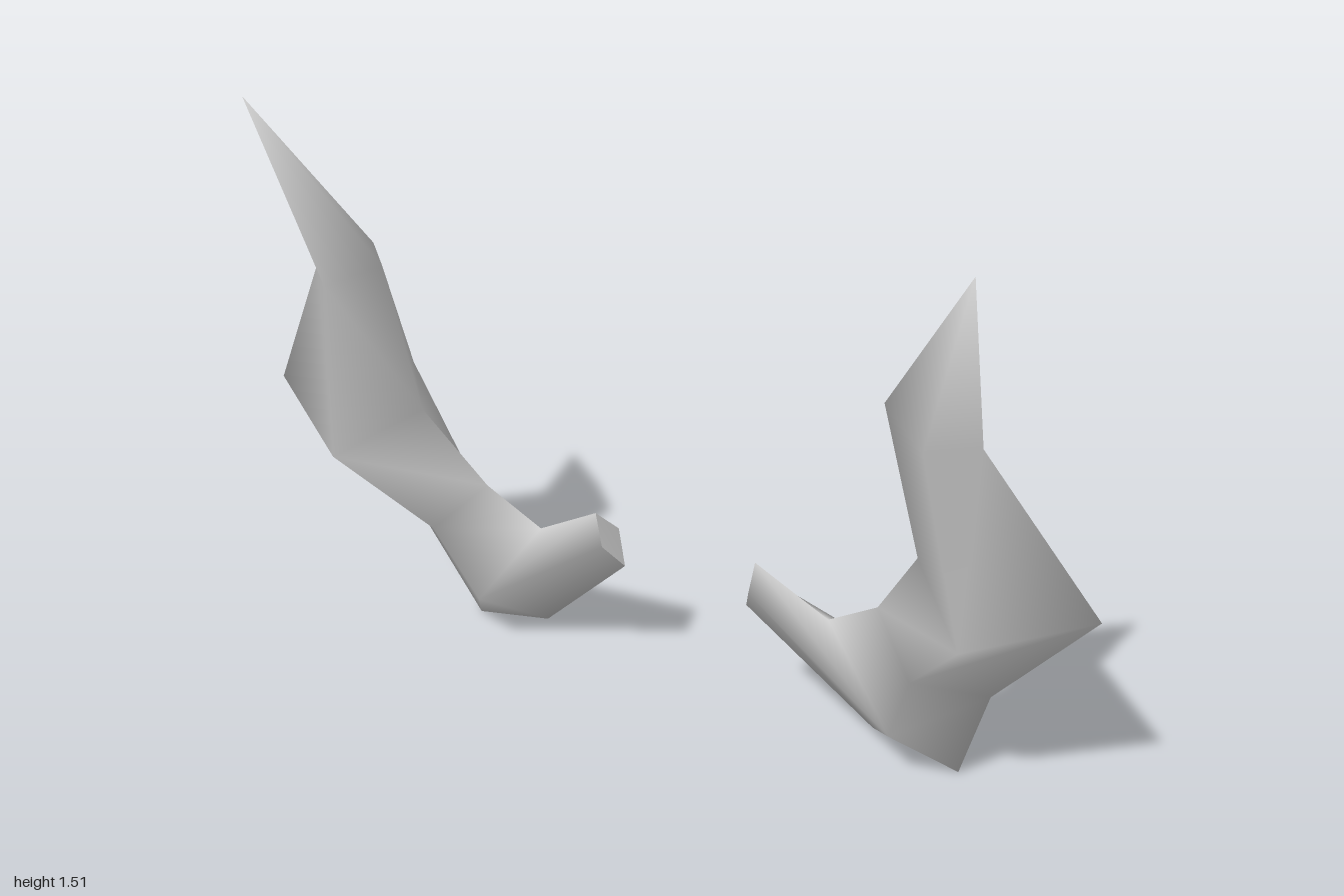
import * as THREE from 'three';
import { mergeVertices } from 'three/addons/utils/BufferGeometryUtils.js';

// Four-sided cross-sections from root to tip: inner, front, outer, back
const elbowIn = [0.365, 0.405, -0.11], elbowFront = [0.53, 0.165, -0.09], elbowBack = [0.49, 0.23, -0.28];
const tip = [0.8, 1.515, 0.277];
const SECTIONS = [
  [[0.2, 0.515, -0.08], [0.185, 0.43, -0.08], [0.155, 0.36, -0.13], [0.175, 0.45, -0.138]],
  [elbowIn, elbowFront, [0.43, 0.06, -0.23], elbowBack],
  [elbowIn, elbowFront, [0.635, 0, -0.25], elbowBack], // elbow heel is two corners wide
  [[0.49, 0.495, -0.085], [0.6, 0.38, -0.02], [0.73, 0.3, -0.16], [0.62, 0.455, -0.19]],
  [[0.605, 0.7, -0.01], [0.76, 0.6, 0.125], [1, 0.67, -0.02], [0.74, 0.705, -0.172]],
  [[0.58, 1.13, 0.14], [0.69, 1.08, 0.2], [0.775, 1.07, 0.11], [0.67, 1.12, 0.045]],
  [tip, tip, tip, tip],
];

// Triangles as a smooth geometry; side = -1 mirrors in x and turns the winding
function smoothGeometry(triangles, side) {
  const positions = [];
  for (const [a, b, c] of triangles) {
    if (a === b || b === c || a === c) continue;
    for (const p of side > 0 ? [a, b, c] : [a, c, b]) positions.push(p[0] * side, p[1], p[2]);
  }
  let geometry = new THREE.BufferGeometry();
  geometry.setAttribute('position', new THREE.Float32BufferAttribute(positions, 3));
  geometry = mergeVertices(geometry);
  geometry.computeVertexNormals();
  return geometry;
}

function makeHorn(side, material) {
  const horn = new THREE.Group();
  horn.name = side > 0 ? 'leftHorn' : 'rightHorn';

  // Skin between neighbouring sections
  const skin = [];
  for (let i = 0; i < SECTIONS.length - 1; i++) {
    const low = SECTIONS[i], high = SECTIONS[i + 1];
    for (let j = 0; j < 4; j++) {
      const k = (j + 1) % 4;
      skin.push([low[j], low[k], high[k]], [low[j], high[k], high[j]]);
    }
  }
  const body = new THREE.Mesh(smoothGeometry(skin, side), material);
  body.name = 'hornBody';

  // Flat cap closing the root
  const [a, b, c, d] = SECTIONS[0];
  const cap = new THREE.Mesh(smoothGeometry([[a, d, c], [a, c, b]], side), material);
  cap.name = 'hornRootCap';

  horn.add(body, cap);
  return horn;
}

export function createModel() {
  const material = new THREE.MeshStandardMaterial({ color: 0xcccccc });
  material.name = 'hornGrey';
  const model = new THREE.Group();
  model.name = 'hornPair';
  for (const side of [1, -1]) model.add(makeHorn(side, material));
  return model;
}
